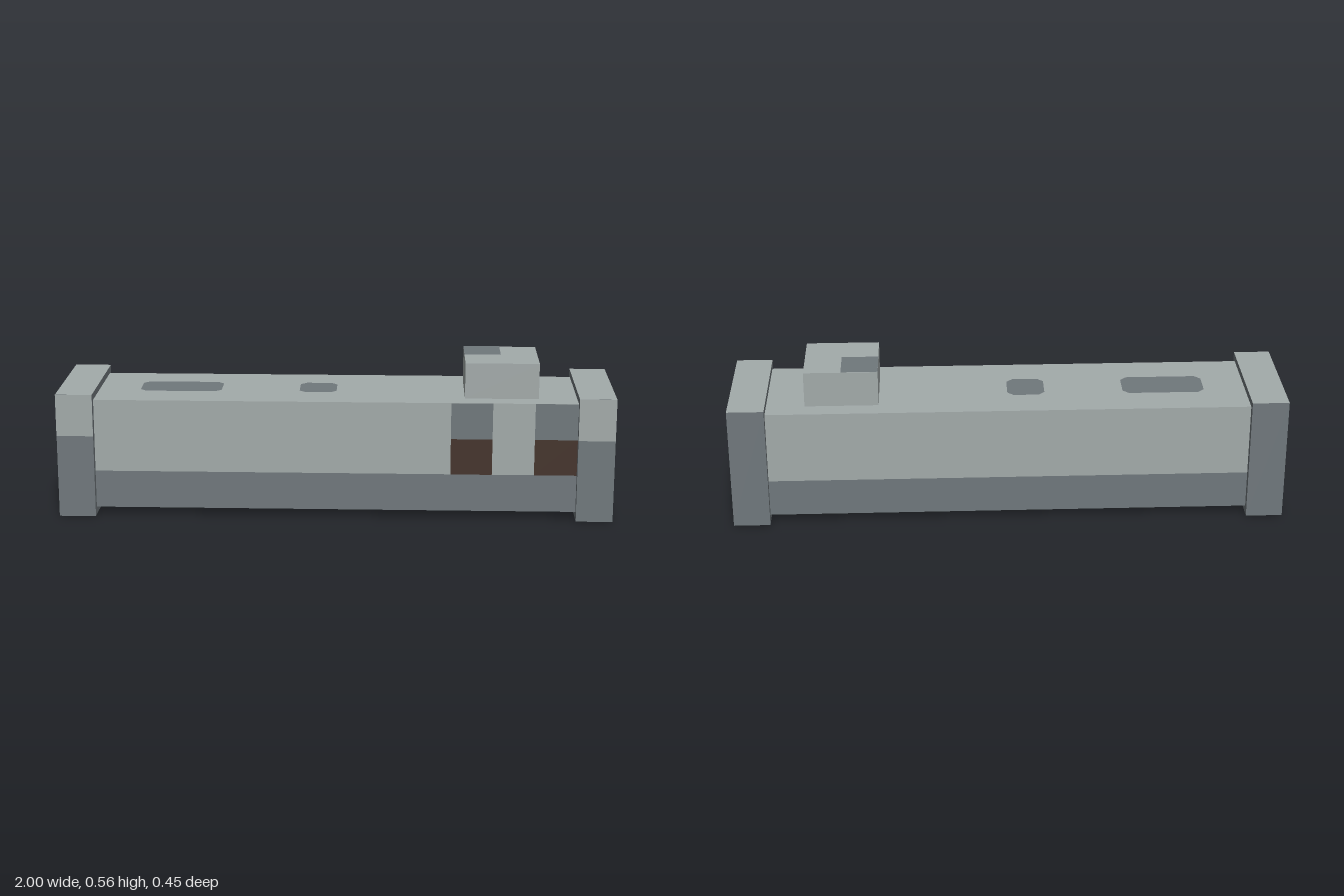
import * as THREE from 'three';

const makeMaterial = (name, color) => {
  const m = new THREE.MeshStandardMaterial({ color });
  m.name = name;
  return m;
};

export function createModel() {
  const model = new THREE.Group();
  model.name = 'model';
  const light = makeMaterial('light grey', 0xa3abaa);
  const dark = makeMaterial('dark grey', 0x70787c);
  const brown = makeMaterial('dark brown', 0x44332b);
  const lift = 0.0015; // gap between a painted plate and its surface

  // Box from min/max extents
  const box = (name, x0, x1, y0, y1, z, material) => {
    const mesh = new THREE.Mesh(new THREE.BoxGeometry(x1 - x0, y1 - y0, 2 * z), material);
    mesh.position.set((x0 + x1) / 2, (y0 + y1) / 2, 0);
    mesh.name = name;
    model.add(mesh);
  };

  // Flat outline facing the front
  const plate = (name, points, material) => {
    const shape = new THREE.Shape(points.map(([x, y]) => new THREE.Vector2(x, y)));
    const mesh = new THREE.Mesh(new THREE.ShapeGeometry(shape), material);
    mesh.name = name;
    model.add(mesh);
    return mesh;
  };
  const rect = (x0, x1, y0, y1) => [[x0, y0], [x1, y0], [x1, y1], [x0, y1]];
  const chamfered = (x0, x1, y0, y1, c) => [
    [x0 + c, y0], [x1 - c, y0], [x1, y0 + c], [x1, y1 - c],
    [x1 - c, y1], [x0 + c, y1], [x0, y1 - c], [x0, y0 + c],
  ];
  // Lay a plate flat at height y; outline y becomes -z
  const layFlat = (mesh, y) => {
    mesh.rotation.x = -Math.PI / 2;
    mesh.position.y = y + lift;
  };

  // Long hull in two colour bands
  box('lowerBody', -0.87, 0.87, 0.028, 0.165, 0.2, dark);
  box('upperBody', -0.87, 0.87, 0.165, 0.43, 0.2, light);

  // End caps: dark with a light top and a light upper front
  const capMaterials = [dark, dark, light, dark, dark, dark];
  for (const [side, x0, x1] of [['right', -1, -0.868], ['left', 0.868, 1]]) {
    box(side + 'EndCap', x0, x1, 0, 0.455, 0.2265, capMaterials);
    plate(side + 'CapFrontPanel', rect(x0, x1, 0.302, 0.455), light).position.z = 0.2265 + lift;
  }

  // Light upper panel with a dipped lower edge on the right end
  const endPanel = plate('rightEndPanel', [
    [-0.2265, 0.455], [-0.2265, 0.31], [-0.16, 0.295], [-0.08, 0.262],
    [0.08, 0.262], [0.16, 0.275], [0.2265, 0.285], [0.2265, 0.455],
  ], light);
  endPanel.rotation.y = -Math.PI / 2;
  endPanel.position.x = -1 - lift;

  // Raised block on top with a dark corner patch
  box('topBlock', 0.465, 0.73, 0.43, 0.56, 0.133, light);
  layFlat(plate('blockCornerPatch', rect(0.465, 0.597, 0, 0.133), dark), 0.56);

  // Dark patches along the top
  layFlat(plate('longTopPatch', chamfered(-0.717, -0.42, -0.067, 0.07, 0.022), dark), 0.43);
  layFlat(plate('shortTopPatch', chamfered(-0.135, 0, -0.067, 0.07, 0.022), dark), 0.43);

  // Two openings on the front, grey above and brown below
  for (const [side, x0, x1] of [['right', 0.415, 0.564], ['left', 0.715, 0.868]]) {
    plate(side + 'UpperPanel', rect(x0, x1, 0.297, 0.43), dark).position.z = 0.2 + lift;
    plate(side + 'Opening', rect(x0, x1, 0.165, 0.297), brown).position.z = 0.2 + lift;
  }

  return model;
}
